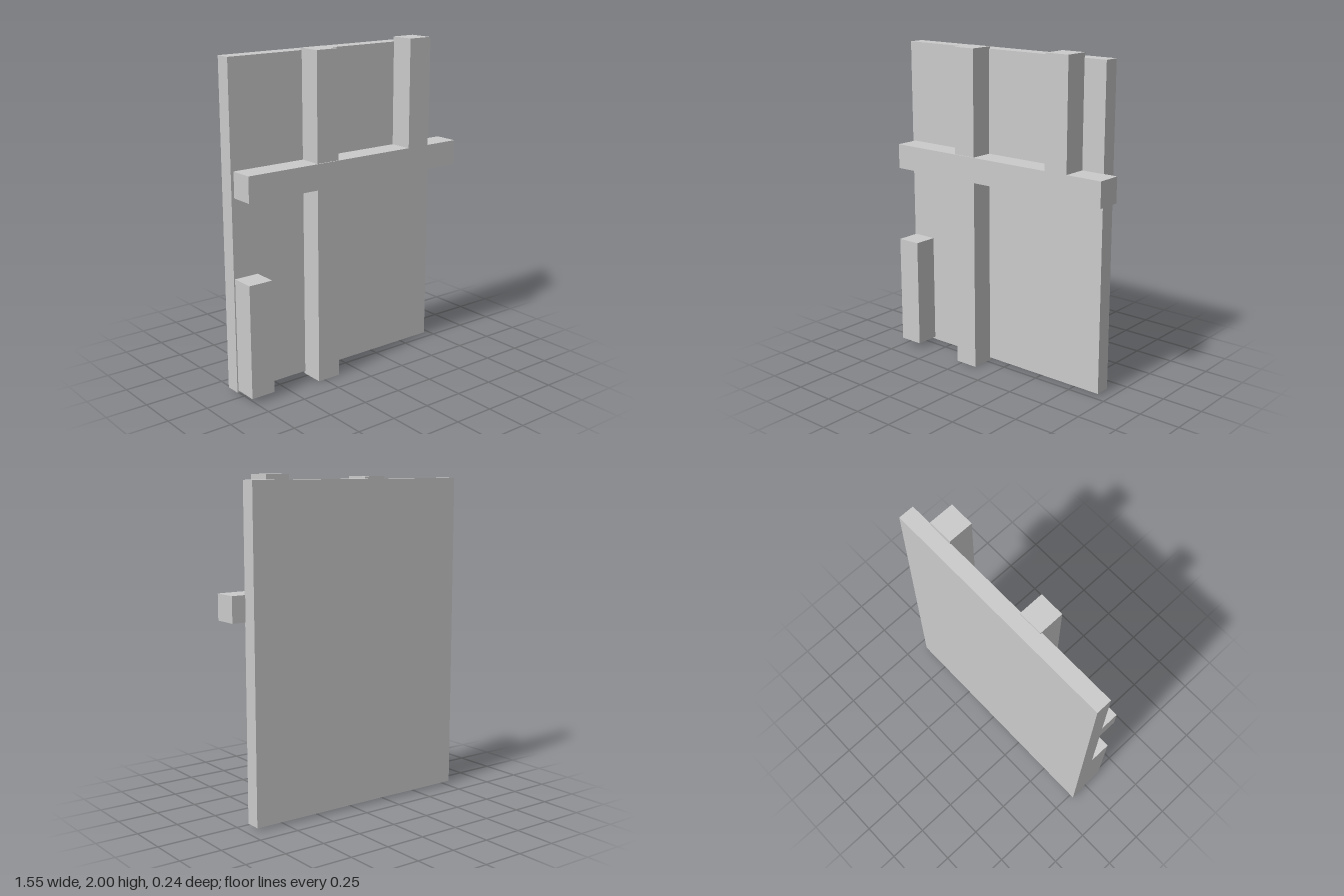
import * as THREE from 'three';

const material = new THREE.MeshStandardMaterial({ color: 0xcccccc, flatShading: true });

// Box given by its lower and upper limits on each axis
function block(name, [x0, x1], [y0, y1], [z0, z1]) {
  const mesh = new THREE.Mesh(new THREE.BoxGeometry(x1 - x0, y1 - y0, z1 - z0), material);
  mesh.position.set((x0 + x1) / 2, (y0 + y1) / 2, (z0 + z1) / 2);
  mesh.name = name;
  return mesh;
}

export function createModel() {
  const model = new THREE.Group();
  model.name = 'panelWithBattens';
  const barDepth = [-0.033, 0.12];

  model.add(
    // Flat backing panel
    block('backPanel', [-0.778, 0.69], [0.022, 1.97], [-0.123, -0.028]),
    // Full-height post, set slightly deeper than the other bars
    block('tallPost', [-0.29, -0.14], [0.004, 1.983], [-0.039, 0.113]),
    // Horizontal rail overhanging the panel edge
    block('crossRail', [-0.76, 0.775], [1.19, 1.343], barDepth),
    // Short post standing on the rail
    block('upperPost', [0.392, 0.545], [1.343, 2.0], barDepth),
    // Short post at the lower corner
    block('lowerPost', [-0.771, -0.618], [0.036, 0.72], barDepth),
  );
  return model;
}
